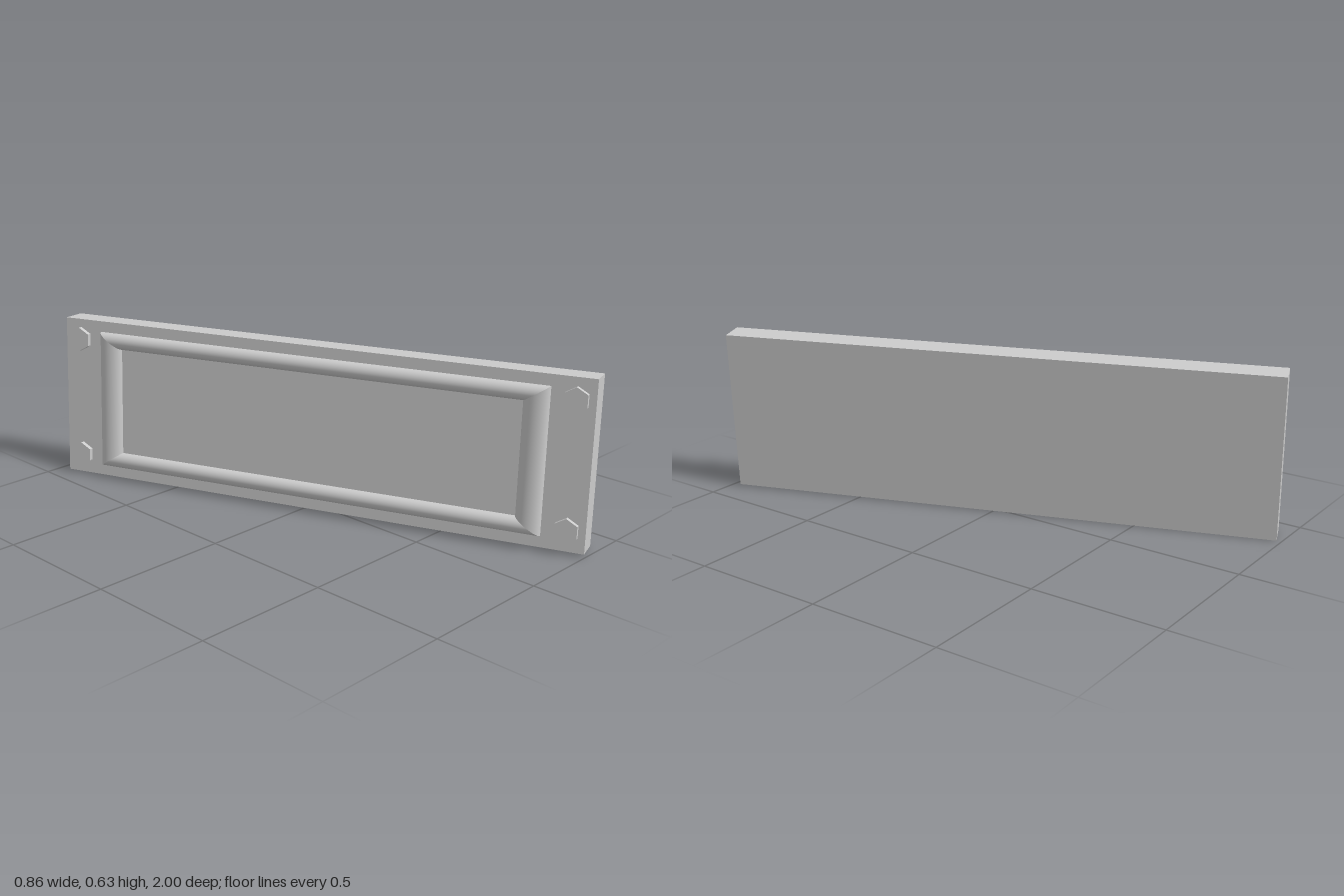
import * as THREE from 'three';

const LENGTH = 2.077, HEIGHT = 0.617, DEPTH = 0.098;
const FACE = DEPTH / 2;

const smooth = new THREE.MeshStandardMaterial({ color: 0xcccccc, side: THREE.DoubleSide });
const flat = new THREE.MeshStandardMaterial({ color: 0xcccccc, flatShading: true });

function add(parent, name, geometry, material, x = 0, y = 0, z = 0) {
  const mesh = new THREE.Mesh(geometry, material);
  mesh.name = name;
  mesh.position.set(x, y, z);
  parent.add(mesh);
  return mesh;
}

// Half-round bar between two mitred corners; each corner is [signX, signY]
function mouldingBar(a, b) {
  const steps = 16, positions = [], indices = [];
  for (let i = 0; i <= steps; i++) {
    const t = (i / steps) * Math.PI;
    for (const [sx, sy] of [a, b]) {
      positions.push(
        sx * (0.836 + 0.046 * Math.cos(t)),
        sy * (0.237 + 0.03 * Math.cos(t)),
        0.03 * Math.sin(t));
    }
    if (i < steps) {
      const k = i * 2;
      indices.push(k, k + 1, k + 2, k + 1, k + 3, k + 2);
    }
  }
  const g = new THREE.BufferGeometry();
  g.setAttribute('position', new THREE.Float32BufferAttribute(positions, 3));
  g.setIndex(indices);
  g.computeVertexNormals();
  return g;
}

export function createModel() {
  const group = new THREE.Group();
  group.name = 'plaque';

  // Leaning, turned slab: everything is built upright, then oriented as one
  const plate = new THREE.Group();
  plate.name = 'plate';
  group.add(plate);

  add(plate, 'slab', new THREE.BoxGeometry(LENGTH, HEIGHT, DEPTH), flat);

  // Raised half-round frame, counter-clockwise round the face
  const corners = [[1, 1], [-1, 1], [-1, -1], [1, -1]];
  const names = ['topMoulding', 'endMouldingA', 'bottomMoulding', 'endMouldingB'];
  corners.forEach((c, i) => {
    add(plate, names[i], mouldingBar(c, corners[(i + 1) % 4]), smooth, 0, 0, FACE);
  });

  // Hexagonal bolt heads outside the frame corners
  for (const [sx, sy] of corners) {
    const bolt = new THREE.CylinderGeometry(0.046, 0.046, 0.018, 6).rotateX(Math.PI / 2);
    add(plate, 'boltHead', bolt, flat, sx * 0.972, sy * 0.231, FACE + 0.009);
  }

  // Orientation from the slab's length and height directions
  const along = new THREE.Vector3(0.349, 0.003, 0.937).normalize();
  const up = new THREE.Vector3(0.068, 0.997, -0.0285);
  const out = along.clone().cross(up).normalize();
  up.crossVectors(out, along);
  plate.quaternion.setFromRotationMatrix(new THREE.Matrix4().makeBasis(along, up, out));
  plate.position.y = 0.314;

  return group;
}
